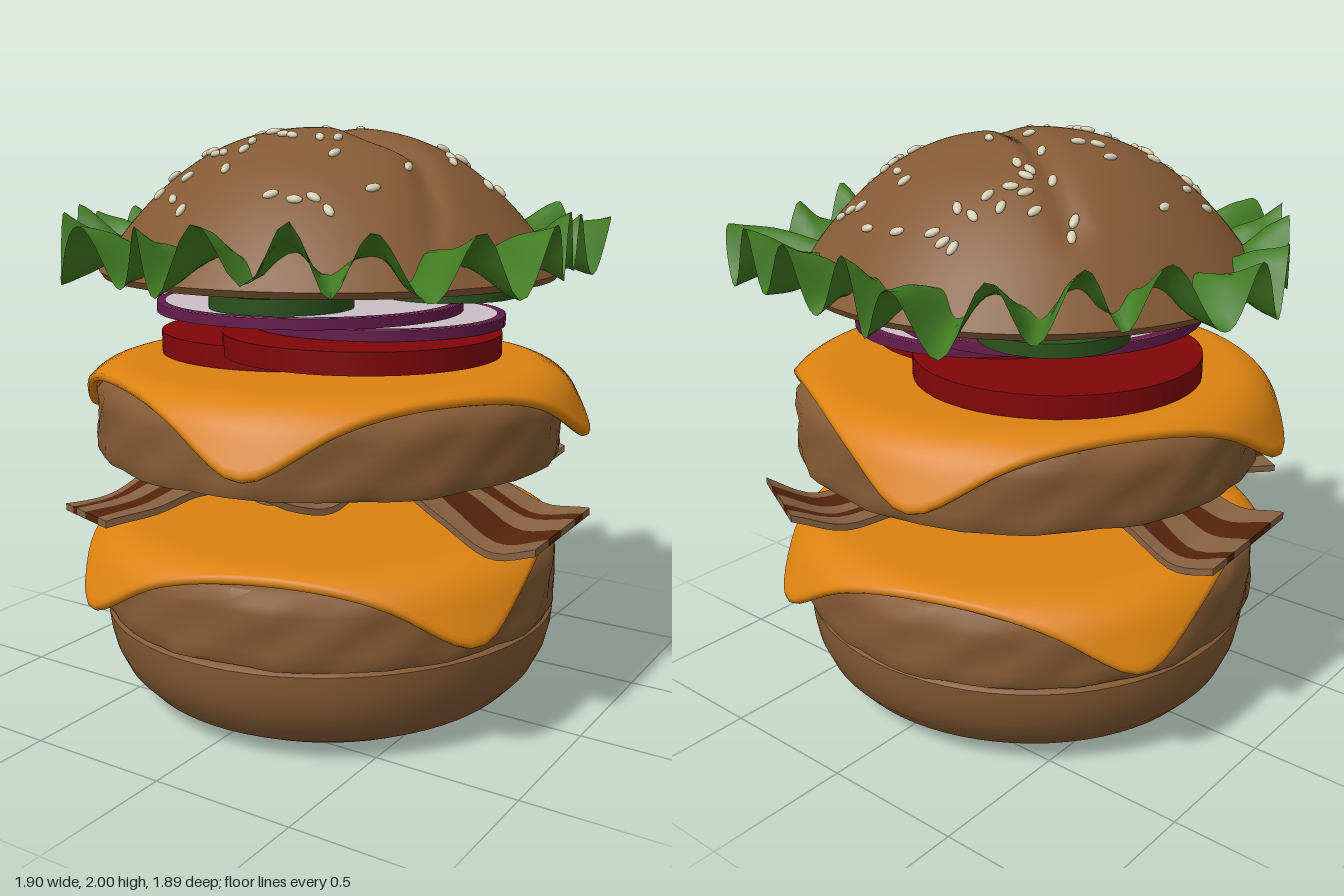
import * as THREE from 'three';
import { toCreasedNormals } from 'three/addons/utils/BufferGeometryUtils.js';

const mat = (name, color, side = THREE.FrontSide) => {
  const m = new THREE.MeshStandardMaterial({ color, side });
  m.name = name;
  return m;
};

// Skin a grid of points: u runs round a closed loop, v runs from start to end
function loopSurface(nu, nv, f, crease = 0.8) {
  const pos = [], idx = [];
  for (let j = 0; j <= nv; j++) for (let i = 0; i < nu; i++) pos.push(...f(i / nu, j / nv, i, j));
  for (let j = 0; j < nv; j++) for (let i = 0; i < nu; i++) {
    const a = j * nu + i, c = j * nu + (i + 1) % nu, b = a + nu, d = c + nu;
    idx.push(a, b, c, c, b, d);
  }
  const g = new THREE.BufferGeometry();
  g.setAttribute('position', new THREE.Float32BufferAttribute(pos, 3));
  g.setIndex(idx);
  return toCreasedNormals(g, crease);
}

// Round part from a [radius, y] profile (top centre, outwards, bottom centre) with a wobble
function roundPart(profile, wobble) {
  return loopSurface(72, profile.length - 1, (u, v, i, j) => {
    const [r, y] = profile[j], t = u * Math.PI * 2;
    const [dr, dy] = wobble(t, y, r);
    return [(r + dr) * Math.sin(t), y + dy, (r + dr) * Math.cos(t)];
  });
}

// Distance from point to segment, used for the crease in the top bun
function segDist(x, z, [ax, az], [bx, bz]) {
  const dx = bx - ax, dz = bz - az;
  const k = THREE.MathUtils.clamp(((x - ax) * dx + (z - az) * dz) / (dx * dx + dz * dz), 0, 1);
  return Math.hypot(x - ax - k * dx, z - az - k * dz);
}
const creaseLine = [[-0.45, -0.36], [-0.1, -0.12], [0.16, 0.05], [0.4, 0.1], [0.56, 0.28], [0.66, 0.46]];
function bunHeight(x, z) {
  const r = Math.hypot(x, z);
  let d = 9;
  for (let i = 0; i < creaseLine.length - 1; i++) d = Math.min(d, segDist(x, z, creaseLine[i], creaseLine[i + 1]));
  const dent = 0.03 * Math.exp(-((d / 0.045) ** 2)) + 0.025 * Math.exp(-(((x - 0.25) ** 2 + (z - 0.06) ** 2) / 0.01));
  return 1.5 + 0.5 * (1 - Math.pow(Math.min(r / 0.82, 1), 2.5)) - dent * Math.min(1, (0.82 - r) * 6);
}

// Square slice whose corners droop over the patty
function cheeseGeometry(top, angle) {
  const thick = 0.035, steps = 22, flat = 0.71, ramp = 0.2, bend = 1.12;
  return loopSurface(112, steps * 2 + 3, (u, v, i, j) => {
    const t = u * Math.PI * 2, c = Math.abs(Math.cos(t - angle - Math.PI / 4)), s = Math.abs(Math.sin(t - angle - Math.PI / 4));
    const R = 0.79 / Math.pow(c ** 9 + s ** 9, 1 / 9);
    // rows: top face, two rounded lip rows, underside
    const lip = j === steps + 1 || j === steps + 2, under = j > steps + 2;
    const k = under ? steps * 2 + 3 - j : Math.min(j, steps);
    const len = k === 0 ? 0 : 0.6 + (R - 0.6) * (k - 1) / (steps - 1) + (lip ? 0.012 : 0);
    const depth = under ? thick : lip ? thick * (j === steps + 1 ? 0.3 : 0.7) : 0;
    const e = Math.max(0, len - flat), a = Math.min(e, ramp), th = bend * a / ramp, rest = e - a;
    const r = Math.min(len, flat) + ramp / bend * Math.sin(th) + rest * Math.cos(th) - depth * Math.sin(th);
    const y = top - ramp / bend * (1 - Math.cos(th)) - rest * Math.sin(th) - depth * Math.cos(th);
    return [r * Math.sin(t), y, r * Math.cos(t)];
  }, 1.3);
}

export function createModel() {
  const model = new THREE.Group();
  const brown = mat('bunAndPattyBrown', 0x845a34), cheese = mat('cheeseOrange', 0xdb8210);
  const green = mat('lettuceGreen', 0x427b22, THREE.DoubleSide), red = mat('tomatoRed', 0x800609);
  const purple = mat('onionPurple', 0x661b4c), pale = mat('onionFlesh', 0xc9bfc4);
  const pickle = mat('pickleGreen', 0x2a521c), seedMat = mat('sesameCream', 0xd8ceb2);
  const baconLight = mat('baconTan', 0x866142), baconDark = mat('baconBrown', 0x54230d);
  const add = (name, geo, m, parent = model) => {
    const mesh = new THREE.Mesh(geo, m);
    mesh.name = name;
    parent.add(mesh);
    return mesh;
  };

  // Bottom bun
  add('bottomBun', roundPart([[0, 0.345], [0.6, 0.345], [0.79, 0.345], [0.81, 0.33], [0.805, 0.27], [0.79, 0.2],
    [0.755, 0.125], [0.7, 0.065], [0.63, 0.027], [0.55, 0.01], [0.4, 0.003], [0, 0.015]],
  (t, y, r) => [r * 0.008 * Math.sin(3 * t + y * 6), 0]), brown);

  // Patties, each under a drooping cheese slice
  [[0.34, 0.61, 0.655, -0.48], [0.885, 1.16, 1.205, 0.28]].forEach(([lo, hi, top, angle], n) => {
    const profile = [[0, hi], [0.5, hi], [0.74, hi], [0.79, hi - 0.015], [0.815, hi - 0.05]];
    for (let k = 1; k < 6; k++) profile.push([0.82, hi - 0.05 - (hi - lo - 0.08) * k / 6]);
    profile.push([0.82, lo + 0.03], [0.812, lo + 0.008], [0.78, lo], [0.5, lo], [0, lo]);
    add(n ? 'upperPatty' : 'lowerPatty', roundPart(profile, (t, y, r) => {
      const k = r > 0.7 ? 1 : 0;
      return [k * (0.004 * Math.sin(7 * t + 9 * y) + 0.004 * Math.sin(17 * t - 31 * y + n) + 0.003 * Math.sin(29 * t + 47 * y)),
        k * 0.003 * Math.sin(11 * t + n)];
    }), brown);
    add(n ? 'upperCheese' : 'lowerCheese', cheeseGeometry(top, angle), cheese);
  });

  // Bacon: wavy strips made of alternating light and dark lengthwise bands
  const bands = [-0.21, -0.145, -0.075, 0.005, 0.115, 0.21], last = bands.length - 1;
  [[-0.03, 0, 0.02, 1.86, [0.76, 0.72, 0.79, 0.83, 0.77, 0.71, 0.78, 0.85, 0.84, 0.77, 0.69, 0.72]],
    [1.073, -0.01, -0.01, 1.84, [0.74, 0.76, 0.82, 0.82, 0.75, 0.71, 0.79, 0.85, 0.83, 0.77, 0.74, 0.81]]]
    .forEach(([rot, x, z, length, heights], n) => {
      const strip = new THREE.Group();
      strip.name = 'baconStrip' + (n + 1);
      strip.position.set(x, 0, z);
      strip.rotation.y = rot;
      model.add(strip);
      const wave = new THREE.CatmullRomCurve3(heights.map((h, i) => new THREE.Vector3(i, h, 0)));
      const edge = (k, t) => bands[k] + (k > 0 && k < last ? 0.016 * Math.sin(t * 14 + k * 2) : 0.012 * Math.sin(t * 19));
      const N = 52;
      for (let k = 0; k < last; k++) {
        add(k % 2 ? 'baconLeanBand' : 'baconFatBand', loopSurface(4, N + 2, (u, v, i, j) => {
          const t = THREE.MathUtils.clamp((j - 1) / N, 0, 1), cap = j === 0 || j === N + 2;
          const w0 = edge(k, t), w1 = edge(k + 1, t);
          const w = cap ? (w0 + w1) / 2 : i === 0 || i === 3 ? w1 : w0;
          const y = wave.getPoint(t).y + w * 0.14 * Math.sin(t * 11 + 1) + (cap ? 0 : i < 2 ? 0.012 : -0.012);
          return [(t - 0.5) * length, y, w];
        }, 0.6), k % 2 ? baconDark : baconLight, strip);
      }
    });

  // Sliced vegetables: [name, x, z, radius, bottom, top, side and face materials]
  [['lowerTomato', -0.175, -0.06, 0.495, 1.207, 1.285, red, red],
    ['upperTomato', 0.19, 0.09, 0.475, 1.25, 1.325, red, red],
    ['lowerOnion', 0.155, -0.07, 0.45, 1.328, 1.365, purple, pale],
    ['upperOnion', -0.06, 0.03, 0.54, 1.374, 1.41, purple, pale],
    ['frontPickle', 0, 0.295, 0.243, 1.412, 1.465, pickle, pickle],
    ['rightPickle', -0.335, -0.285, 0.245, 1.412, 1.458, pickle, pickle],
    ['leftPickle', 0.325, -0.285, 0.245, 1.412, 1.458, pickle, pickle]]
    .forEach(([name, x, z, r, lo, hi, side, face]) => {
      add(name, new THREE.CylinderGeometry(r, r, hi - lo, 48), [side, face, face]).position.set(x, (lo + hi) / 2, z);
      // coloured skin rim on the onion faces
      if (side !== face) [hi + 0.001, lo - 0.001].forEach((y, k) => {
        const rim = add(name + 'Rim', new THREE.RingGeometry(r - 0.03, r, 48), side);
        rim.position.set(x, y, z);
        rim.rotation.x = k ? Math.PI / 2 : -Math.PI / 2;
      });
    });

  // Top bun with a folded crease and a shallow hollow underneath
  const bunSteps = 40, hollow = [[0.79, 1.5], [0.74, 1.505], [0.62, 1.545], [0.45, 1.575], [0.2, 1.585], [0, 1.585]];
  add('topBun', loopSurface(120, bunSteps + hollow.length, (u, v, i, j) => {
    const t = u * Math.PI * 2, inner = hollow[j - bunSteps - 1];
    const r = inner ? inner[0] : 0.805 * j / bunSteps;
    const x = r * Math.sin(t), z = r * Math.cos(t);
    return [x, inner ? inner[1] : bunHeight(x, z), z * 0.98];
  }), brown);

  // Lettuce: ruffled ring with an uneven outer edge
  const outline = [[0, 0.94], [0.4, 0.76], [0.74, 0.62], [0.94, 0.3], [0.87, -0.05], [0.79, -0.36], [0.77, -0.68],
    [0.53, -0.8], [0.2, -0.88], [0, -0.86], [-0.3, -0.95], [-0.56, -0.76], [-0.7, -0.46], [-0.91, -0.25], [-0.95, 0],
    [-0.84, 0.3], [-0.66, 0.58], [-0.47, 0.83], [-0.22, 0.83]];
  const outer = new THREE.CatmullRomCurve3(outline.map(([x, z]) => new THREE.Vector3(x, 0, z)), true);
  add('lettuce', loopSurface(252, 8, (u, v) => {
    const p = outer.getPoint(u), t = Math.atan2(p.x, p.z), R = Math.hypot(p.x, p.z);
    const ruffle = Math.cos(21 * t + 0.7 * Math.sin(2 * t) + Math.PI);
    const r = 0.71 + (R - 0.71) * v;
    const y = 1.6 + 0.015 * v + 0.02 * v * Math.sin(5 * t) + ruffle * (0.022 + 0.078 * v) + 0.01 * Math.sin(33 * t + 5 * v);
    return [r * Math.sin(t), y, r * Math.cos(t)];
  }, 1.1), green);

  // Sesame seeds as x, z pairs lying on the dome
  const spots = [-.2, -.6, -.16, -.6, -.11, -.59, .02, -.61, .16, -.6, -.2, -.51, -.14, -.51, -.26, -.45, -.2, -.44, .14, -.45,
    .28, -.51, .34, -.5, .39, -.5, .23, -.39, -.46, -.36, -.44, -.32, -.35, -.4, -.29, -.37, -.24, -.38, -.25, -.32,
    -.24, -.29, -.19, -.29, -.3, -.25, .37, -.31, .38, -.26, .33, -.21, .39, -.23, .55, -.2, .55, -.11, .01, -.19,
    -.17, -.14, -.56, -.02, -.35, -.02, -.23, -.03, -.27, .02, -.02, -.02, .43, -.07, .46, -.03, .42, .2, -.5, .2,
    -.56, .23, -.36, .21, -.43, .31, -.28, .29, -.22, .35, -.18, .36, -.1, .31, -.09, .37, -.38, .45, -.26, .45,
    -.08, .22, -.01, .26, .03, .27, .13, .26, .18, .23, .23, .33, .4, .38, .14, .55, .22, .54, .27, .51,
    .33, .52, -.25, .54, -.09, .47, -.17, .6];
  const seedGeo = new THREE.SphereGeometry(1, 10, 7).scale(0.015, 0.011, 0.027);
  const seeds = new THREE.Group();
  seeds.name = 'sesameSeeds';
  model.add(seeds);
  const up = new THREE.Vector3(0, 1, 0);
  for (let i = 0; i < spots.length; i += 2) {
    const x = spots[i], z = spots[i + 1], d = 0.01;
    const normal = new THREE.Vector3(bunHeight(x - d, z) - bunHeight(x + d, z), 2 * d,
      bunHeight(x, z - d) - bunHeight(x, z + d)).normalize();
    const seed = add('sesameSeed', seedGeo, seedMat, seeds);
    seed.position.set(x, bunHeight(x, z / 0.98), z).addScaledVector(normal, 0.006);
    seed.quaternion.setFromUnitVectors(up, normal);
    seed.rotateY(i * 1.37);
  }
  return model;
}
